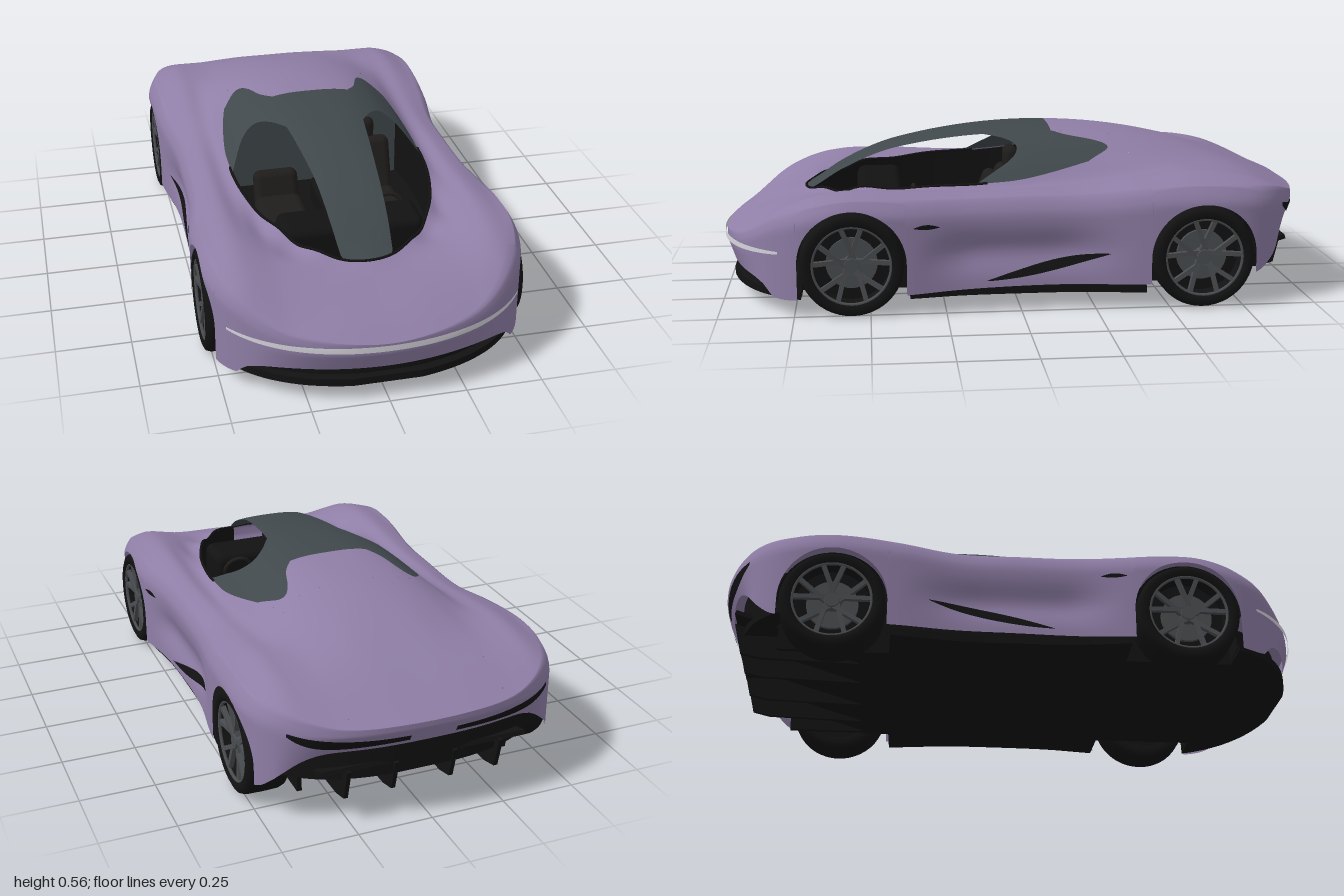
import * as THREE from 'three';
import { RoundedBoxGeometry } from 'three/addons/geometries/RoundedBoxGeometry.js';

const mat = (name, color) => new THREE.MeshStandardMaterial({ name, color, side: THREE.DoubleSide });
const lerp = THREE.MathUtils.lerp, smooth = THREE.MathUtils.smoothstep;

// Smooth 1D curve through points
function spline(xs, ys) {
  const n = xs.length, tan = i => {
    const a = Math.max(0, i - 1), b = Math.min(n - 1, i + 1);
    return (ys[b] - ys[a]) / (xs[b] - xs[a]);
  };
  return x => {
    let i = 0;
    while (i < n - 2 && x > xs[i + 1]) i++;
    const d = xs[i + 1] - xs[i], t = Math.min(1, Math.max(0, (x - xs[i]) / d)), t2 = t * t, t3 = t2 * t;
    return (2 * t3 - 3 * t2 + 1) * ys[i] + (t3 - 2 * t2 + t) * d * tan(i)
      + (3 * t2 - 2 * t3) * ys[i + 1] + (t3 - t2) * d * tan(i + 1);
  };
}

// Height of the upper surface: columns across x, rows along z
const colX = [-0.12, 0, 0.12, 0.22, 0.3, 0.36, 0.42, 0.5];
const rows = [
  [-1, .35, .35, .345, .34, .34, .335, .33],
  [-.8, .43, .43, .425, .42, .42, .42, .395],
  [-.6, .495, .49, .47, .45, .445, .445, .415],
  [-.4, .54, .53, .505, .465, .43, .425, .40],
  [-.2, .557, .55, .52, .465, .41, .40, .37],
  [0, .558, .55, .515, .455, .395, .395, .37],
  [.2, .54, .53, .49, .425, .385, .393, .37],
  [.4, .50, .49, .45, .38, .385, .402, .38],
  [.5, .465, .455, .41, .365, .387, .404, .385],
  [.6, .415, .405, .35, .365, .387, .40, .382],
  [.7, .355, .345, .345, .355, .37, .38, .36],
  [.8, .31, .313, .315, .32, .33, .335, .31],
  [.92, .26, .26, .255, .25, .25, .245, .24],
  [1, .215, .215, .21, .205, .2, .2, .19]];
const colZ = [2, 1, 2, 3, 4, 5, 6, 7].map(c => spline(rows.map(r => r[0]), rows.map(r => r[c])));
const height = (x, z) => spline(colX, colZ.map(f => f(z)))(Math.abs(x));

// Plan outline, canopy outline and roof strip half widths
const midW = spline([-.6, -.4, -.2, 0, .2, .4, .55], [.537, .525, .498, .495, .502, .53, .535]);
const width = z => z > .55 ? .535 * Math.sqrt(Math.max(0, 1 - ((z - .55) / .45) ** 2.5))
  : z < -.6 ? .537 * Math.max(0, 1 - Math.min(1, (-.6 - z) / .4) ** 2.9) ** .4 : midW(z);
const rearA = spline([-.4, -.3, -.2, -.1, 0, .1], [.26, .288, .313, .33, .34, .34]);
const canopy = z => z > .1 ? .34 * Math.sqrt(Math.max(0, 1 - ((z - .1) / .62) ** 2))
  : Math.min(rearA(z), .7 * width(z));
const stripW = spline([-.36, -.15, 0, .2, .4, .6, .72], [.14, .14, .145, .127, .108, .094, .082]);
const strip = z => Math.min(stripW(z), canopy(z));

// Lower edge of the skin, with wheel arches
const WHEELS = [.56, -.61], ARCH = .179;
const sill = spline([-1, -.95, -.88, -.8, -.6, 0, .7, .82, .85, .9, 1], [.27, .26, .19, .12, .09, .085, .06, .06, .095, .115, .12]);
function lowerEdge(z) {
  for (const w of WHEELS) if (Math.abs(z - w) <= ARCH + 1e-5)
    return .175 + Math.sqrt(Math.max(0, ARCH ** 2 - (z - w) ** 2));
  return sill(z);
}
// Nose chin and tail tuck under
const tuck = (x, y, z) => [x, y, z > 0
  ? z - smooth(z, .85, 1) * Math.max(0, .18 - y) * .35
  : z + smooth(-z, .85, 1) * Math.max(0, .33 - y) * .5];
const onTop = (x, z) => tuck(x, height(x, z), z);
function onSide(y, z, out = 0) {
  const w = width(z), hs = height(.95 * w, z);
  const round = Math.sin(Math.min(1, Math.max(0, (hs - y) / (.22 * (hs - .1)))) * Math.PI / 2);
  const waist = .025 * smooth(z, -.4, -.1) * (1 - smooth(z, .15, .36)) * Math.exp(-(((y - .2) / .06) ** 2));
  return tuck(w * (.95 + .05 * round) - waist + out * Math.min(1, w / .1), y,
    z + out * smooth(z, .8, 1) - out * smooth(-z, .8, 1));
}

// Surface grid: rows run backwards, columns run outwards
function sheet(nr, nc, fn, mirror = false) {
  const pos = [], idx = [];
  for (let i = 0; i <= nr; i++) for (let j = 0; j <= nc; j++) {
    const [x, y, z] = fn(i / nr, j / nc, i, j);
    pos.push(mirror ? -x : x, y, z);
    if (i < nr && j < nc) {
      const a = i * (nc + 1) + j, b = a + 1, c = a + nc + 1, d = c + 1;
      idx.push(...(mirror ? [a, c, b, b, c, d] : [a, b, c, b, d, c]));
    }
  }
  const g = new THREE.BufferGeometry();
  g.setAttribute('position', new THREE.Float32BufferAttribute(pos, 3));
  g.setIndex(idx);
  g.computeVertexNormals();
  return g;
}
const cosRange = (a, b, n) => Array.from({ length: n + 1 }, (_, i) => lerp(a, b, (1 - Math.cos(Math.PI * i / n)) / 2));

// Flat slab following a plan outline
function slab(zs, half, top, depth, zScale = 1) {
  const right = zs.map(z => new THREE.Vector2(half(z), z * zScale));
  const left = zs.map(z => new THREE.Vector2(-half(z), z * zScale)).reverse();
  const g = new THREE.ExtrudeGeometry(new THREE.Shape([...right, ...left]), { depth, bevelEnabled: false });
  return g.rotateX(Math.PI / 2).translate(0, top, 0);
}

export function createModel() {
  const car = new THREE.Group();
  car.name = 'sportsCar';
  const paint = mat('purplePaint', 0x8f7ea6), glass = mat('smokedRoof', 0x40484c), black = mat('blackTrim', 0x121212),
    rim = mat('wheelMetal', 0x4a4d50), seatMat = mat('seatFabric', 0x1f1d1c), light = mat('lightBar', 0xd6d4dc);
  const add = (name, geo, m, parent = car) => {
    const mesh = new THREE.Mesh(geo, m);
    mesh.name = name;
    parent.add(mesh);
    return mesh;
  };

  // Outer skin from canopy edge over the fenders and down the sides
  const [f0, f1, r0, r1] = WHEELS.flatMap(w => [w + ARCH, w - ARCH]);
  const st = [...cosRange(1, f0 + 1e-4, 26), ...cosRange(f0, f1, 32), ...cosRange(f1 - 1e-4, r0 + 1e-4, 44),
    ...cosRange(r0, r1, 32), ...cosRange(r1 - 1e-4, -1, 26)];
  const NT = 16, NS = 16;
  const skin = (u, v, i, j) => {
    const z = st[i], xs = .95 * width(z);
    if (j <= NT) return onTop(lerp(canopy(z), xs, j / NT), z);
    return onSide(lerp(height(xs, z), lowerEdge(z), (j - NT) / NS), z);
  };
  // Roof: centre strip, side lobes and painted rear deck
  const winRear = spline([0, .2, .45, .7, 1], [.1, .03, -.01, .02, .14]);
  const lobeRear = spline([0, .2, .4, .6, .8, 1], [-.14, -.19, -.275, -.32, -.318, -.25]);
  const band = (f, z) => onTop(lerp(strip(z), canopy(z), f), z);
  const across = (half, z0, z1) => (u, v) => { const z = lerp(z0, z1, u); return onTop(half(z) * (2 * v - 1), z); };
  add('roofStrip', sheet(50, 16, across(strip, .72, -.14)), glass);
  add('roofDeck', sheet(14, 16, across(strip, -.14, -.36)), paint);
  add('rearDeck', sheet(50, 30, (u, v) => {
    const z = lerp(-.36, -1, Math.sin(u * Math.PI / 2));
    return onTop(canopy(z) * (2 * v - 1), z);
  }), paint);
  // Bulkhead behind the seats, fitted under the roof
  const BULK = -.13;
  add('bulkhead', sheet(4, 30, (u, v) => {
    const x = (canopy(BULK) - .003) * (2 * v - 1);
    return [x, lerp(.19, height(x, BULK) - .003, u), BULK];
  }), glass);

  for (const s of [1, -1]) {
    const m = s < 0, side = m ? 'right' : 'left';
    add(side + 'BodySkin', sheet(st.length - 1, NT + NS, skin, m), paint);
    add(side + 'RoofLobe', sheet(24, 24, (u, f) => band(f, lerp(winRear(f), lobeRear(f), u)), m), glass);
    add(side + 'LobeSurround', sheet(10, 24, (u, f) => band(f, lerp(lobeRear(f), -.36, u)), m), paint);
    // Door lining below the window
    add(side + 'DoorLining', sheet(30, 3, (u, v) => {
      const z = lerp(.71, BULK, u), x = canopy(z);
      return [x, lerp(height(x, z) - .004, .19, v), z];
    }, m), black);
    // Dark seal around the window
    const edge = Array.from({ length: 24 }, (_, i) => {
      const z = .1 + .62 * Math.cos(i / 23 * Math.PI / 2), x = canopy(z);
      return new THREE.Vector3(s * x, height(x, z), z);
    });
    add(side + 'WindowSeal', new THREE.TubeGeometry(new THREE.CatmullRomCurve3(edge), 48, .005, 6), black);
    // Thin panels laid on the flank
    const decal = (name, z0, z1, top, bottom, m2, out = .004) => add(side + name, sheet(40, 4, (u, v) => {
      const z = lerp(z0, z1, z0 > .9 ? 1 - Math.cos(u * Math.PI / 2) : u);
      return onSide(lerp(top(u), bottom(u), v), z, out);
    }, m), m2);
    decal('LightBar', 1, .8, u => .213 + .003 * u, u => .193 + .014 * u * u, light, .007);
    decal('SideIntake', .12, -.3, u => .105 + .085 * Math.sin(u * Math.PI / 2), u => .105 + .085 * u ** 1.7, black);
    decal('FenderVent', .36, .27, u => .295 + .01 * Math.sin(u * Math.PI), u => .295 - .006 * Math.sin(u * Math.PI), black);
    decal('TailLight', -.89, -.999, u => .338 - .03 * u, u => .338 - .03 * u - .035 * Math.sin(Math.PI * Math.min(1, .1 + u * .7)), black);

    // Seats, the right one folded low
    const seat = new THREE.Group();
    seat.name = side + 'Seat';
    seat.position.set(s * .17, .2, .08);
    add('cushion', new RoundedBoxGeometry(.17, .08, .26, 3, .03), seatMat, seat).position.set(0, .03, .12);
    const tall = m ? .15 : .24;
    const back = add('backrest', new RoundedBoxGeometry(.16, tall, .06, 3, .028), seatMat, seat);
    back.position.set(0, tall / 2, -.02);
    back.rotation.x = -.35;
    if (!m) add('headrest', new RoundedBoxGeometry(.1, .1, .05, 3, .024), seatMat, seat).position.set(-.02, .25, -.075);
    car.add(seat);

    // Wheels and wells
    WHEELS.forEach((wz, k) => {
      const name = side + (k ? 'Rear' : 'Front');
      const halfDrum = (part, x, length, open) => {
        const drum = add(name + part, new THREE.CylinderGeometry(ARCH, ARCH, length, 32, 1, open, 0, Math.PI), black);
        drum.rotation.z = Math.PI / 2;
        drum.position.set(s * x, .175, wz);
      };
      halfDrum('Well', .43, .14, true);
      halfDrum('WellWall', .362, .016, false);
      add(name + 'WellBase', new THREE.BoxGeometry(.016, .12, ARCH * 2), black).position.set(s * .362, .118, wz);
      const wheel = new THREE.Group();
      wheel.name = name + 'Wheel';
      wheel.position.set(s * .457, .173, wz);
      wheel.rotation.y = m ? Math.PI : 0;
      const profile = [[.128, -.066], [.15, -.073], [.166, -.066], [.172, -.05], [.173, 0], [.172, .05], [.166, .066], [.15, .073], [.128, .066], [.126, 0], [.128, -.066]];
      add('tyre', new THREE.LatheGeometry(profile.map(p => new THREE.Vector2(...p)), 48).rotateZ(-Math.PI / 2), black, wheel);
      add('backPlate', new THREE.CylinderGeometry(.128, .128, .01, 40).rotateZ(Math.PI / 2), black, wheel);
      add('brakeDisc', new THREE.CylinderGeometry(.085, .085, .012, 32).rotateZ(Math.PI / 2).translate(.015, 0, 0), rim, wheel);
      add('rimLip', new THREE.TorusGeometry(.13, .006, 8, 48).rotateY(Math.PI / 2).translate(.062, 0, 0), rim, wheel);
      add('hub', new THREE.CylinderGeometry(.024, .03, .03, 20).rotateZ(-Math.PI / 2).translate(.045, 0, 0), rim, wheel);
      for (let i = 0; i < 10; i++) {
        const d = i % 2 ? 1 : -1;
        add('spoke', new THREE.BoxGeometry(.016, .114, .015).rotateX(d * .2).rotateZ(-.1)
          .translate(.052, .074, 0).rotateX((Math.floor(i / 2) + d * .14) * Math.PI * .4), rim, wheel);
      }
      car.add(wheel);
    });
  }

  // Floor, splitter, front intake and rear panel
  const inArch = z => WHEELS.some(w => Math.abs(z - w) < ARCH + .003);
  add('floor', slab(st.filter(z => z < .995 && z > -.54), z => inArch(z) ? .37 : width(z) * .97, .08, .025, .98), black);
  add('chassis', slab([.74, -.5], () => .36, .2, .13), black);
  add('frontIntake', slab(st.filter(z => z > .76 && z < .998), z => width(z) * .96, .135, .07, .95), black);
  add('rearPanel', slab(st.filter(z => z < -.8 && z > -.998), z => width(z) * .93, .29, .14, .94), black);

  // Diffuser ramp and fins
  const ramp = add('diffuser', new THREE.BoxGeometry(.7, .015, .45), black);
  ramp.position.set(0, .13, -.72);
  ramp.rotation.x = .3;
  const fin = new THREE.Shape([[.52, .058], [.86, .07], [.92, .085], [.945, .19], [.92, .2], [.54, .075]].map(p => new THREE.Vector2(...p)));
  for (const x of [-.26, -.1, .1, .26]) {
    add('diffuserFin', new THREE.ExtrudeGeometry(fin, { depth: .014, bevelEnabled: false })
      .rotateY(Math.PI / 2).translate(x - .007, 0, 0), black);
  }

  // Cabin: dashboard, console and steering wheel
  add('dashboard', new RoundedBoxGeometry(.48, .16, .16, 3, .03), black).position.set(0, .29, .46);
  add('console', new RoundedBoxGeometry(.07, .1, .42, 2, .02), black).position.set(0, .23, .2);
  const steer = add('steeringWheel', new THREE.TorusGeometry(.05, .007, 8, 28), seatMat);
  steer.position.set(.165, .32, .36);
  steer.rotation.x = -.35;
  return car;
}
